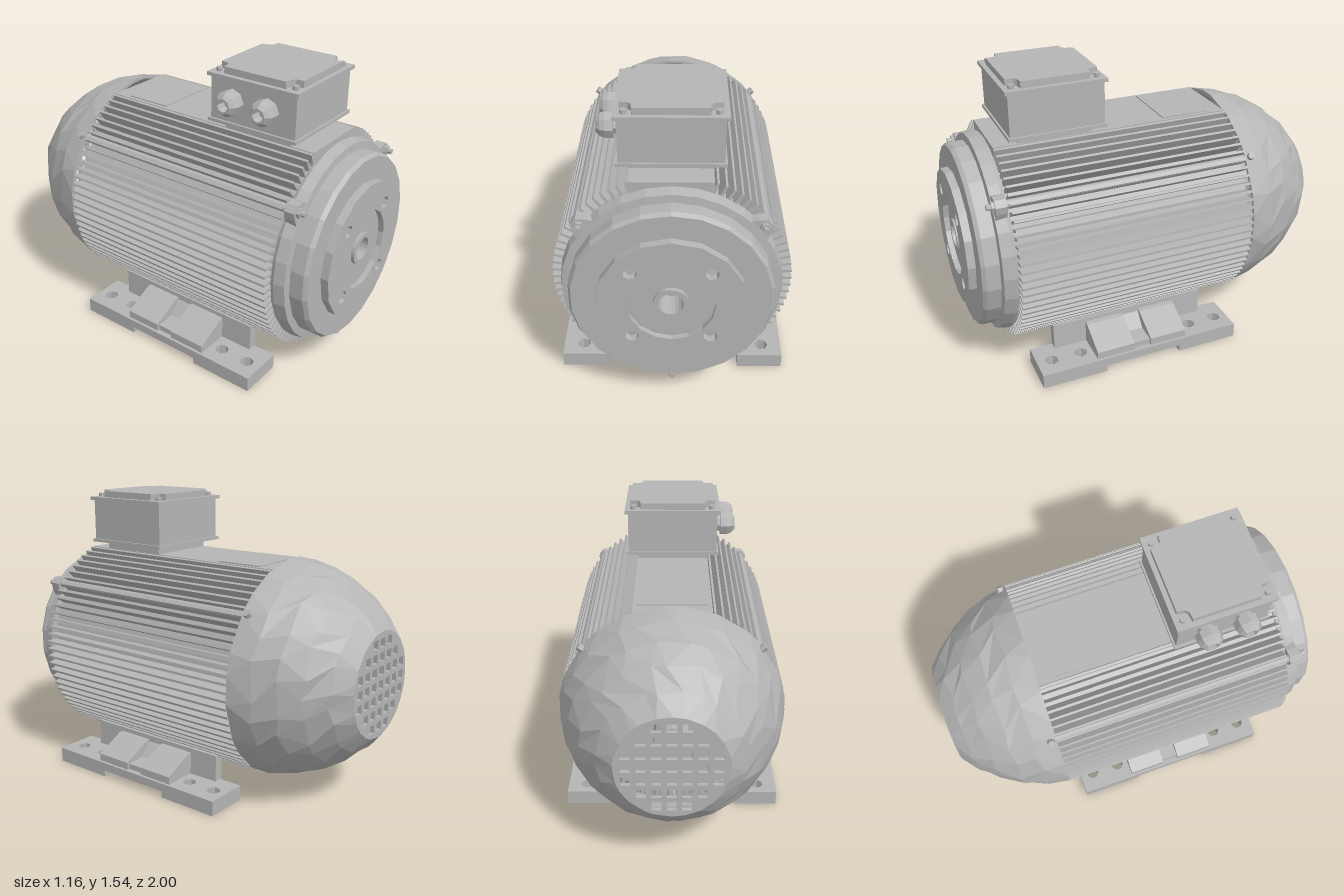
import * as THREE from 'three';

const CY = 0.665; // height of the motor axis

const castMetal = new THREE.MeshStandardMaterial({ color: 0xb5b5b5 });
castMetal.name = 'grey cast metal';

// Faceted normals without touching the material
function flat(g) {
  const f = g.index ? g.toNonIndexed() : g;
  f.computeVertexNormals();
  return f;
}

function add(parent, name, geometry, x = 0, y = 0, z = 0) {
  const m = new THREE.Mesh(geometry, castMetal);
  m.name = name;
  m.position.set(x, y, z);
  parent.add(m);
  return m;
}

// Box given by its min and max corners
function block(parent, name, x0, x1, y0, y1, z0, z1) {
  return add(parent, name, new THREE.BoxGeometry(x1 - x0, y1 - y0, z1 - z0),
    (x0 + x1) / 2, (y0 + y1) / 2, (z0 + z1) / 2);
}

const polygon = pts => new THREE.Shape(pts.map(p => new THREE.Vector2(p[0], p[1])));
const rect = (x0, x1, y0, y1) => polygon([[x0, y0], [x1, y0], [x1, y1], [x0, y1]]);
function circle(x, y, r, n) {
  const pts = [];
  for (let i = 0; i < n; i++) {
    const a = (i / n) * Math.PI * 2;
    pts.push([x + r * Math.cos(a), y + r * Math.sin(a)]);
  }
  return polygon(pts);
}

// Extrusion along z from z0 to z1
function prism(shape, z0, z1, holes = []) {
  shape.holes = holes;
  return new THREE.ExtrudeGeometry(shape, { depth: z1 - z0, bevelEnabled: false }).translate(0, 0, z0);
}

// Horizontal plate, shape drawn in x and z
const plate = (shape, y0, y1, holes) =>
  prism(shape, 0, y1 - y0, holes).rotateX(Math.PI / 2).translate(0, y1, 0);

// Lathe around the z axis, profile points are [radius, z]
function turned(pts, n) {
  return new THREE.LatheGeometry(pts.map(p => new THREE.Vector2(p[0], p[1])), n).rotateX(Math.PI / 2);
}

// Rod along z
const rod = (r, z0, z1, n) =>
  flat(new THREE.CylinderGeometry(r, r, z1 - z0, n).rotateX(Math.PI / 2).translate(0, 0, (z0 + z1) / 2));

function buildStator(motor) {
  const stator = new THREE.Group();
  stator.name = 'finnedHousing';
  stator.position.y = CY;
  motor.add(stator);
  add(stator, 'housingCore', rod(0.512, -0.48, 0.8, 48));
  // Cooling fins all round, leaving out the flat pad on top
  const fin = polygon([[0.49, -0.009], [0.579, -0.006], [0.579, 0.006], [0.49, 0.009]]);
  const finGeometry = prism(fin, -0.48, 0.79);
  const count = 84;
  for (let i = 0; i < count; i++) {
    const a = (i / count) * Math.PI * 2;
    if (Math.sin(a) > 0 && Math.abs(Math.cos(a)) * 0.579 < 0.205) continue;
    add(stator, 'coolingFin', finGeometry).rotation.z = a;
  }
  block(stator, 'topPad', -0.2, 0.195, 0.4, 0.542, -0.48, 0.79);
  block(stator, 'namePlate', -0.18, 0.175, 0.54, 0.548, -0.385, -0.13);
}

function buildFrontEnd(motor) {
  const end = new THREE.Group();
  end.name = 'frontEndShield';
  end.position.y = CY;
  motor.add(end);
  add(end, 'endRing', flat(turned([[0.06, 0.79], [0.525, 0.79], [0.535, 0.81], [0.525, 0.865], [0.48, 0.87]], 28)));
  // Flange with shaft hub and bore
  add(end, 'flange', flat(turned([
    [0.48, 0.85], [0.488, 0.87], [0.488, 0.94], [0.475, 0.96], [0.3, 0.96], [0.2, 0.972],
    [0.085, 0.972], [0.085, 0.99], [0.06, 0.99], [0.06, 0.86], [0, 0.86]], 22)));
  block(end, 'shaftKey', -0.012, 0.012, 0.045, 0.062, 0.86, 0.985);
  const holes = [circle(0, 0, 0.208, 16)];
  for (const x of [-0.187, 0.187]) for (const y of [-0.187, 0.187]) holes.push(circle(x, y, 0.034, 7));
  add(end, 'raisedFace', prism(circle(0, 0, 0.358, 16), 0.958, 1.0, holes));

  // Three tie bolts with lugs, nuts and cover screws
  for (const a of [39.5, 140.5, 270]) {
    const tie = new THREE.Group();
    tie.name = 'tieBolt';
    tie.rotation.z = THREE.MathUtils.degToRad(a);
    end.add(tie);
    const lug = polygon([[0.46, -0.09], [0.555, -0.045], [0.585, -0.02], [0.585, 0.02], [0.555, 0.045], [0.46, 0.09]]);
    add(tie, 'lug', prism(lug, 0.805, 0.862));
    add(tie, 'rod', rod(0.021, -0.48, 0.81, 10), 0.558);
    add(tie, 'nut', rod(0.026, 0.855, 0.878, 6), 0.553);
    add(tie, 'boltEnd', rod(0.015, 0.87, 0.9, 8), 0.553);
    const screw = new THREE.CylinderGeometry(0.02, 0.02, 0.03, 6).rotateZ(Math.PI / 2);
    add(tie, 'coverScrew', flat(screw), 0.582, 0, -0.51);
  }
}

function buildFanCover(motor) {
  const cover = new THREE.Group();
  cover.name = 'fanCover';
  cover.position.y = CY;
  motor.add(cover);
  const outer = [[0.275, -1], [0.36, -0.925], [0.445, -0.825], [0.51, -0.72], [0.555, -0.6], [0.58, -0.48]];
  const inner = outer.map(p => [p[0] - 0.018, Math.min(p[1] + 0.012, -0.48)]).reverse();
  const n = 24;
  const dome = turned(outer.concat(inner), n);
  // Staggered, uneven rows give the hand-hewn facets
  const p = dome.attributes.position;
  const rows = outer.length * 2;
  for (let i = 0; i < p.count; i++) {
    const row = Math.min(i % rows, rows - 1 - (i % rows));
    const col = Math.floor(i / rows) % n;
    const turn = ((row % 2) * 0.5 + 0.22 * Math.sin(col * 2.3 + row * 4.1)) * (Math.PI * 2 / n);
    const x = p.getX(i), y = p.getY(i);
    const slide = row > 0 && row < outer.length - 1 ? 0.012 * Math.sin(col * 3.7 + row * 1.9) : 0;
    const k = 1 + slide * 0.9;
    p.setXYZ(i, (x * Math.cos(turn) - y * Math.sin(turn)) * k,
      (x * Math.sin(turn) + y * Math.cos(turn)) * k, p.getZ(i) + slide);
  }
  add(cover, 'dome', flat(dome));
  // Air intake grille
  const holes = [];
  const pitch = 0.072, half = 0.023;
  for (let i = -3; i <= 3; i++) for (let j = -3; j <= 3; j++) {
    if (Math.hypot(i, j) > 3.3) continue;
    holes.push(rect(i * pitch - half, i * pitch + half, j * pitch - half, j * pitch + half));
  }
  add(cover, 'intakeGrille', prism(circle(0, 0, 0.274, 24), -1, -0.98, holes));
  add(cover, 'fanHub', rod(0.09, -0.8, -0.47, 12));
}

function buildTerminalBox(motor) {
  const box = new THREE.Group();
  box.name = 'terminalBox';
  motor.add(box);
  block(box, 'neck', -0.2, 0.19, 1.19, 1.252, 0.28, 0.665);
  block(box, 'lowerLip', -0.26, 0.255, 1.248, 1.265, 0.215, 0.725);
  block(box, 'boxBody', -0.248, 0.243, 1.26, 1.49, 0.225, 0.715);
  block(box, 'upperLip', -0.265, 0.26, 1.485, 1.503, 0.21, 0.73);
  // Lid with cut corners for the screws
  const a = 0.235, b = 0.175, c = 0.19;
  const corner = [[a, b], [c + 0.005, b + 0.005], [b + 0.005, c + 0.005], [b, a]];
  const outline = [];
  for (let q = 0; q < 4; q++) {
    const t = q * Math.PI / 2;
    for (const [x, y] of corner) outline.push([x * Math.cos(t) - y * Math.sin(t), x * Math.sin(t) + y * Math.cos(t)]);
  }
  add(box, 'lid', plate(polygon(outline), 1.5, 1.538), -0.003, 0, 0.47);
  for (const x of [-0.217, 0.212]) for (const z of [0.253, 0.687])
    add(box, 'lidScrew', flat(new THREE.CylinderGeometry(0.016, 0.016, 0.022, 8)), x, 1.512, z);
  // Cable glands
  for (const z of [0.37, 0.57]) {
    const gland = new THREE.Group();
    gland.name = 'cableGland';
    gland.position.set(-0.248, 1.385, z);
    gland.rotation.z = Math.PI / 2;
    box.add(gland);
    const profile = [[0.045, 0], [0.045, 0.022], [0.066, 0.022], [0.066, 0.062], [0.058, 0.085], [0.04, 0.104], [0.03, 0.104], [0.03, 0.05], [0, 0.05]];
    add(gland, 'glandNut', flat(new THREE.LatheGeometry(profile.map(p => new THREE.Vector2(...p)), 8)));
  }
}

function buildFoot(motor, s) {
  const foot = new THREE.Group();
  foot.name = s > 0 ? 'leftFoot' : 'rightFoot';
  motor.add(foot);
  const side = pts => polygon(pts.map(([x, y]) => [s * x, y]));
  const holesAt = zs => zs.map(z => circle(s * 0.475, z, 0.036, 7));
  const front = [0.635, 0.475], back = [-0.325, -0.165];
  const area = (z0, z1) => rect(Math.min(s * 0.345, s * 0.58), Math.max(s * 0.345, s * 0.58), z0, z1);
  add(foot, 'basePlate', plate(area(-0.4, 0.715), 0.035, 0.08, holesAt([...front, ...back])));
  add(foot, 'frontPad', plate(area(0.365, 0.715), 0, 0.036, holesAt(front)));
  add(foot, 'backPad', plate(area(-0.4, -0.06), 0, 0.036, holesAt(back)));
  add(foot, 'web', prism(side([[0.34, 0.04], [0.39, 0.04], [0.383, 0.222], [0.335, 0.222]]), -0.27, 0.59));
  // Sloped gusset with a pocket in the middle
  const rib = [[0.37, 0.07], [0.565, 0.07], [0.565, 0.12], [0.41, 0.197], [0.37, 0.2]];
  const pocket = [[0.37, 0.07], [0.55, 0.07], [0.55, 0.11], [0.45, 0.115], [0.39, 0.185], [0.37, 0.19]];
  add(foot, 'gusset', prism(side(rib), -0.1, 0.105));
  add(foot, 'gusset', prism(side(rib), 0.2, 0.41));
  add(foot, 'gussetPocket', prism(side(pocket), 0.105, 0.2));
}

export function createModel() {
  const motor = new THREE.Group();
  motor.name = 'electricMotor';
  buildStator(motor);
  buildFrontEnd(motor);
  buildFanCover(motor);
  buildTerminalBox(motor);
  for (const s of [-1, 1]) buildFoot(motor, s);
  return motor;
}
